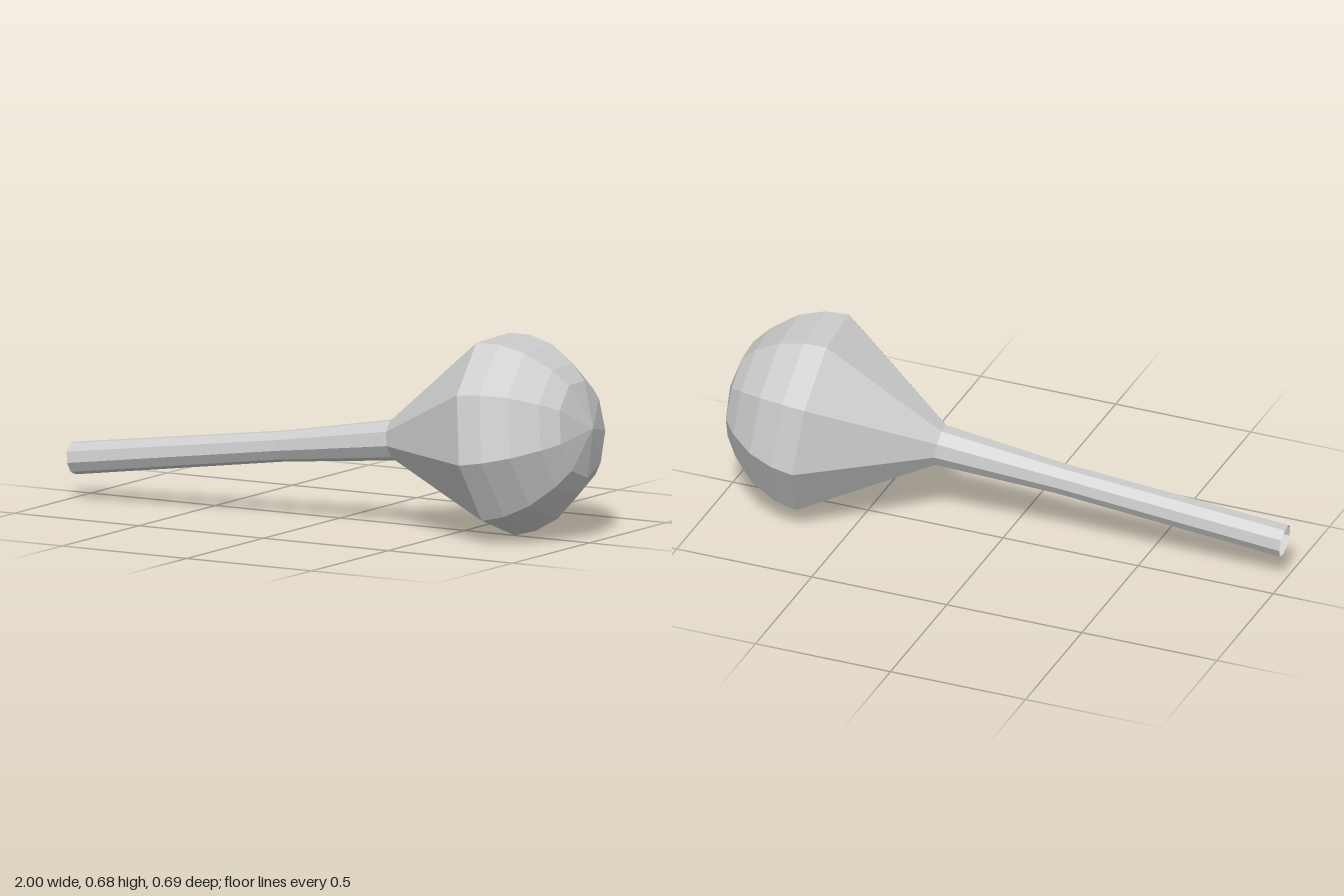
import * as THREE from 'three';

const SIDES = 9;

export function createModel() {
  const model = new THREE.Group();
  model.name = 'clubModel';
  const material = new THREE.MeshStandardMaterial({
    color: 0xcccccc, flatShading: true, side: THREE.DoubleSide,
  });

  // Everything is turned around one slanted axis; the origin sits in the widest ring
  const club = new THREE.Group();
  club.name = 'club';
  const axis = new THREE.Vector3(1, 0.127, -0.075).normalize();
  const down = new THREE.Vector3(0, -1, 0).projectOnPlane(axis).normalize();
  const side = new THREE.Vector3().crossVectors(axis, down);
  club.quaternion.setFromRotationMatrix(new THREE.Matrix4().makeBasis(side, axis, down));
  club.position.set(0.655, 0.354, 0);
  model.add(club);

  // Turned part from [radius, distance along the axis] pairs
  const addTurned = (name, profile) => {
    const points = profile.map(([r, s]) => new THREE.Vector2(r, s));
    const mesh = new THREE.Mesh(new THREE.LatheGeometry(points, SIDES), material);
    mesh.name = name;
    club.add(mesh);
  };

  // Slim shaft, open at its end
  addTurned('handle', [[0.057, -1.664], [0.054, -0.855], [0.072, -0.418]]);

  // Cone flaring out from the neck, closed by a faceted dome
  addTurned('head', [
    [0.072, -0.418], [0.352, 0], [0.341, 0.082], [0.303, 0.172],
    [0.231, 0.257], [0.169, 0.305], [0, 0.348],
  ]);

  return model;
}
